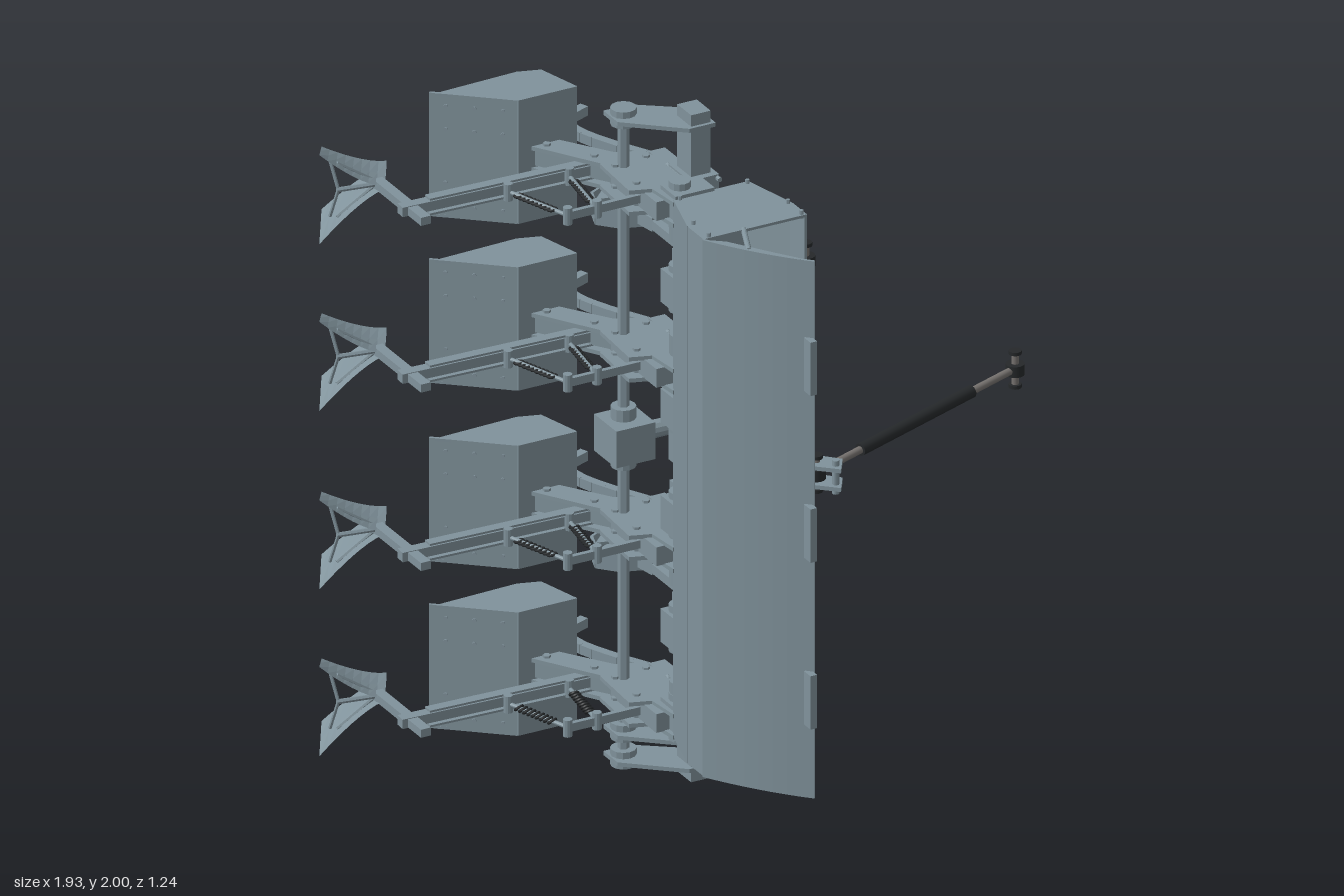
import * as THREE from 'three';

const steel = new THREE.MeshStandardMaterial({ color: 0x80929b, flatShading: true, side: THREE.DoubleSide });
const dark = new THREE.MeshStandardMaterial({ color: 0x25282a });
const rodMat = new THREE.MeshStandardMaterial({ color: 0x76726f });
const V = (x, y, z) => new THREE.Vector3(x, y, z);

function add(parent, name, geo, mat = steel) {
  const m = new THREE.Mesh(geo, mat);
  m.name = name;
  parent.add(m);
  return m;
}
// Box given by its limits on each axis
function box(p, name, x0, x1, y0, y1, z0, z1) {
  const m = add(p, name, new THREE.BoxGeometry(x1 - x0, y1 - y0, z1 - z0));
  m.position.set((x0 + x1) / 2, (y0 + y1) / 2, (z0 + z1) / 2);
  return m;
}
// Outline in the x-z plane, extruded from y0 to y1
function plate(p, name, pts, y0, y1) {
  const s = new THREE.Shape(pts.map(([x, z]) => new THREE.Vector2(x, -z)));
  const g = new THREE.ExtrudeGeometry(s, { depth: y1 - y0, bevelEnabled: false });
  g.rotateX(-Math.PI / 2);
  g.translate(0, y0, 0);
  return add(p, name, g);
}
// Folded sheet: a box along each leg of an x-z path
function sheet(p, name, pts, y0, y1, t) {
  for (let i = 0; i + 1 < pts.length; i++) {
    const [ax, az] = pts[i], [bx, bz] = pts[i + 1];
    const m = add(p, name, new THREE.BoxGeometry(Math.hypot(bx - ax, bz - az), y1 - y0, t));
    m.position.set((ax + bx) / 2, (y0 + y1) / 2, (az + bz) / 2);
    m.rotation.y = -Math.atan2(bz - az, bx - ax);
  }
}
// Round bar between two points
function rod(p, name, a, b, r, mat = steel, sides = 12) {
  const m = add(p, name, new THREE.CylinderGeometry(r, r, a.distanceTo(b), sides), mat);
  m.position.copy(a).add(b).multiplyScalar(0.5);
  m.quaternion.setFromUnitVectors(V(0, 1, 0), b.clone().sub(a).normalize());
  return m;
}
const pin = (p, name, x, z, y0, y1, r, mat, sides) => rod(p, name, V(x, y0, z), V(x, y1, z), r, mat, sides);

// Hitch link: rod, dark sleeve, ball eyes and cross pins
function link(p, name, a, b, sleeve0, sleeve1, r) {
  const g = new THREE.Group();
  g.name = name;
  p.add(g);
  rod(g, 'linkRod', a, b, r * 0.6, rodMat);
  rod(g, 'linkSleeve', a.clone().lerp(b, sleeve0), a.clone().lerp(b, sleeve1), r, dark);
  for (const e of [a, b]) {
    pin(g, 'linkEye', e.x, e.z, e.y - 0.016, e.y + 0.016, 0.026, dark, 20);
    pin(g, 'crossPin', e.x, e.z, e.y - 0.05, e.y + 0.05, 0.01, rodMat);
    for (const s of [-1, 1]) pin(g, 'pinHead', e.x, e.z, e.y + s * 0.05 - 0.005, e.y + s * 0.05 + 0.005, 0.018, dark);
  }
}

function rowUnit(y) {
  const g = new THREE.Group();
  g.name = 'rowUnit';
  g.position.y = y;
  // Frame side plates and slanting arm
  for (const s of [-1, 1]) {
    const c = s * 0.032;
    plate(g, 'frameSide', [[-0.24, -0.02], [-0.23, -0.2], [-0.17, -0.25], [-0.1, -0.22], [-0.06, -0.15],
      [-0.06, 0.02], [-0.08, 0.1], [-0.17, 0.1], [-0.18, 0]], c - 0.006, c + 0.006);
    plate(g, 'slantArm', [[-0.35, -0.4], [-0.28, -0.42], [-0.13, -0.2], [-0.2, -0.16]], c - 0.006, c + 0.006);
    for (const [x, z] of [[-0.2, -0.05], [-0.2, -0.17], [-0.1, -0.18], [-0.09, 0], [-0.12, 0.04], [-0.3, -0.37], [-0.22, -0.25]])
      pin(g, 'frameBolt', x, z, c - 0.013, c + 0.013, 0.011, steel, 6);
  }
  box(g, 'frameBlock', -0.2, -0.08, -0.028, 0.028, -0.2, 0.06);
  sheet(g, 'armCore', [[-0.31, -0.4], [-0.16, -0.18]], -0.022, 0.022, 0.05);
  box(g, 'beamClamp', -0.075, 0.015, -0.045, 0.045, -0.1, 0.02);
  for (const x of [-0.07, 0.01]) for (const s of [-0.035, 0.035])
    rod(g, 'clampBolt', V(x, s, -0.115), V(x, s, 0.035), 0.007, steel, 6);
  // Share hood: folded back wall and two end plates
  sheet(g, 'hoodWall', [[-0.565, -0.545], [-0.38, -0.387], [-0.2, -0.387]], -0.185, 0.185, 0.008);
  for (const s of [-1, 1])
    plate(g, 'hoodEnd', [[-0.555, -0.53], [-0.38, -0.387], [-0.2, -0.387], [-0.235, -0.52], [-0.3, -0.54]],
      s * 0.181 - 0.004, s * 0.181 + 0.004);
  for (const x of [-0.53, -0.47, -0.41]) for (const yy of [-0.15, -0.08, 0.08, 0.15]) {
    const z = -0.545 + (x + 0.565) * 0.854;
    rod(g, 'hoodBolt', V(x - 0.005, yy, z + 0.006), V(x + 0.005, yy, z - 0.006), 0.006, steel, 6);
  }
  // Digging rotor inside the hood
  pin(g, 'rotorShaft', -0.32, -0.53, -0.14, 0.14, 0.018);
  pin(g, 'rotorHub', -0.32, -0.53, -0.04, 0.04, 0.065, steel, 14);
  for (const yy of [-0.11, -0.07, 0.07, 0.11]) {
    pin(g, 'rotorDisc', -0.32, -0.53, yy - 0.004, yy + 0.004, 0.045, steel, 12);
    for (let k = 0; k < 6; k++) {
      const a = k * Math.PI / 3 + yy * 9;
      rod(g, 'rotorBlade', V(-0.32, yy, -0.53),
        V(-0.32 + 0.085 * Math.cos(a), yy + 0.012, -0.53 + 0.085 * Math.sin(a)), 0.008, steel, 4);
    }
  }
  plate(g, 'rotorCase', [[-0.4, -0.55], [-0.37, -0.61], [-0.29, -0.615], [-0.24, -0.57], [-0.24, -0.4], [-0.35, -0.4]], -0.02, 0.02);
  // Trailing beam, post and tapering stays
  sheet(g, 'trailingBeam', [[-0.8, -0.28], [-0.22, -0.26]], -0.014, 0.014, 0.032);
  box(g, 'ridgerPost', -0.785, -0.755, -0.012, 0.012, -0.46, -0.19);
  for (const s of [-1, 1])
    sheet(g, 'stay', [[-0.72, -0.272], [-0.2, -0.255]], s * 0.022 - 0.003, s * 0.022 + 0.003, 0.03);
  // Pressure springs and their rail
  sheet(g, 'springRail', [[-0.43, -0.035], [-0.17, -0.035]], -0.012, 0.012, 0.014);
  for (const [ax, az, bx, bz] of [[-0.49, -0.24, -0.42, -0.035], [-0.3, -0.245, -0.33, -0.035]]) {
    const a = V(ax, 0, az), b = V(bx, 0, bz);
    rod(g, 'springRod', a, b, 0.006);
    for (let k = 0; k < 9; k++) {
      const c = a.clone().lerp(b, 0.18 + k * 0.07);
      const t = add(g, 'springCoil', new THREE.TorusGeometry(0.012, 0.004, 6, 12), dark);
      t.position.copy(c);
      t.lookAt(c.clone().add(b).sub(a));
    }
    pin(g, 'springPivot', bx, bz, -0.025, 0.025, 0.013);
    pin(g, 'springPivot', ax, az, -0.025, 0.025, 0.013);
  }
  // Ridger: two curved wings swept back from the nose
  for (const s of [-1, 1]) {
    const wing = new THREE.PlaneGeometry(1, 1, 8, 2);
    const p = wing.attributes.position;
    for (let i = 0; i < p.count; i++) {
      const u = p.getX(i) + 0.5, v = p.getY(i) + 0.5;
      const x = (-0.69 - 0.2 * u) * (1 - v) + (-0.77 - 0.19 * u) * v;
      const z = (-0.555) * (1 - v) + (-0.42 - 0.02 * u) * v;
      p.setXYZ(i, x, s * (0.004 + (0.09 + 0.04 * v) * Math.pow(u, 1.4)), z);
    }
    wing.computeVertexNormals();
    add(g, 'ridgerWing', wing);
    rod(g, 'wingBrace', V(-0.77, 0, -0.46), V(-0.89, s * 0.08, -0.47), 0.006, steel, 6);
    rod(g, 'wingBrace', V(-0.885, 0, -0.47), V(-0.9, s * 0.085, -0.49), 0.005, steel, 6);
  }
  rod(g, 'wingStem', V(-0.77, 0, -0.45), V(-0.89, 0, -0.47), 0.007, steel, 6);
  // Hooked tine in front of the hood
  const hook = [[-0.04, -0.14], [-0.05, -0.22], [-0.11, -0.34], [-0.155, -0.46], [-0.15, -0.54], [-0.07, -0.58]];
  const curve = new THREE.CatmullRomCurve3(hook.map(([x, z]) => V(x, 0, z)));
  sheet(g, 'hookTine', curve.getPoints(16).map(q => [q.x, q.z]), -0.014, 0.014, 0.026);
  box(g, 'tineBracket', -0.07, -0.02, -0.03, 0.03, -0.22, -0.08);
  return g;
}

export function createModel() {
  const root = new THREE.Group();
  root.name = 'fieldMachine';

  // Main beam and drive shafts
  box(root, 'mainBeam', -0.06, 0, 0, 2, -0.078, 0);
  pin(root, 'driveShaft', -0.18, -0.16, 0.03, 1.97, 0.016, steel, 6);
  pin(root, 'meterShaft', -0.12, 0.045, 0.2, 1.8, 0.012);
  for (const y of [0.04, 0.12, 1.96]) {
    plate(root, 'shaftHanger', [[-0.22, -0.2], [-0.14, -0.2], [0.01, -0.09], [0.01, 0.01], [-0.07, 0.01], [-0.22, -0.12]], y - 0.006, y + 0.006);
    pin(root, 'shaftBearing', -0.18, -0.16, y - 0.025, y + 0.025, 0.036);
  }
  box(root, 'gearbox', -0.24, -0.12, 0.945, 1.055, -0.215, -0.09);
  pin(root, 'gearboxHub', -0.18, -0.16, 0.91, 1.09, 0.035);
  rod(root, 'gearboxInput', V(-0.12, 1, -0.155), V(0.0, 1, -0.155), 0.025);

  // Hopper: folded shell, end plates and inner ribs
  const skin = [[-0.205, 0.34], [-0.205, 0.25], [-0.16, 0.09], [0.065, 0.09], [0.105, 0.26], [0.105, 0.34]];
  sheet(root, 'hopperShell', skin, 0.2, 1.81, 0.008);
  for (const y of [0.2, 1.802]) plate(root, 'hopperEnd', skin, y, y + 0.008);
  for (const y of [0.735, 1.27])
    plate(root, 'hopperRib', [[-0.2, 0.3], [-0.16, 0.095], [0.06, 0.095], [0.1, 0.27]], y - 0.004, y + 0.004);
  for (const y of [0.2, 1.81]) for (const [x, z] of skin) pin(root, 'hopperBolt', x * 0.92, z * 0.94 + 0.012, y - 0.012, y + 0.012, 0.006, steel, 6);
  // Raised curved lid with stays and handles
  const lid = new THREE.QuadraticBezierCurve(new THREE.Vector2(-0.21, 0.34), new THREE.Vector2(-0.12, 0.49), new THREE.Vector2(-0.01, 0.6));
  sheet(root, 'lid', lid.getPoints(8).map(q => [q.x, q.y]), 0.2, 1.81, 0.008);
  for (const y of [0.205, 0.74, 1.27, 1.805]) {
    plate(root, 'lidRib', [...lid.getPoints(8).map(q => [q.x, q.y]), [-0.08, 0.5], [-0.16, 0.38]], y - 0.004, y + 0.004);
    rod(root, 'lidStay', V(-0.08, y, 0.33), V(-0.13, y, 0.45), 0.008);
  }
  for (const y of [0.5, 1, 1.5]) box(root, 'lidHandle', -0.035, -0.015, y - 0.08, y + 0.08, 0.585, 0.622);

  // Metering boxes between hopper and beam
  for (const y of [0.235, 0.5, 0.84, 1.16, 1.52, 1.77]) {
    box(root, 'meterBox', -0.16, -0.04, y - 0.05, y + 0.05, 0.01, 0.095);
    pin(root, 'meterCap', -0.12, 0.045, y - 0.07, y + 0.07, 0.03);
  }
  for (const y of [0.31, 0.66, 1.35, 1.69]) pin(root, 'shaftCoupling', -0.12, 0.045, y - 0.03, y + 0.03, 0.028);

  // Four row units
  for (const y of [0.235, 0.735, 1.27, 1.77]) root.add(rowUnit(y));

  // Two forward furrow shoes on upright legs
  for (const y of [0.49, 1.52]) {
    const g = new THREE.Group();
    g.name = 'furrowShoe';
    root.add(g);
    box(g, 'shoeClamp', -0.07, 0.035, y - 0.045, y + 0.045, -0.09, 0.09);
    box(g, 'shoeLeg', -0.005, 0.03, y - 0.014, y + 0.014, -0.34, 0.1);
    plate(g, 'legNeck', [[-0.005, -0.32], [0.03, -0.32], [0.02, -0.47], [-0.03, -0.47]], y - 0.02, y + 0.02);
    const outline = [[-0.105, -0.45], [-0.08, -0.52], [-0.02, -0.55], [0.06, -0.54], [0.115, -0.5], [0.1, -0.41], [0.03, -0.37], [-0.06, -0.4]];
    sheet(g, 'shoeRim', [...outline, outline[0]], y - 0.03, y + 0.03, 0.008);
    plate(g, 'shoeWeb', outline, y - 0.028, y - 0.02);
    plate(g, 'shoeCheek', [[-0.09, -0.48], [-0.02, -0.55], [0.06, -0.54], [0.115, -0.5], [0.06, -0.45]], y + 0.02, y + 0.028);
    pin(g, 'shoeHub', 0, -0.46, y - 0.035, y + 0.035, 0.03);
  }

  // Hitch mast: paired curved plates
  for (const s of [-1, 1])
    plate(root, 'mastPlate', [[0.0, -0.11], [0.06, -0.11], [0.06, 0.04], [0.09, 0.13], [0.15, 0.22], [0.235, 0.31], [0.2, 0.365],
      [0.12, 0.29], [0.05, 0.2], [0.015, 0.1]], 1 + s * 0.028 - 0.006, 1 + s * 0.028 + 0.006);
  box(root, 'mastFoot', -0.075, 0.03, 0.93, 1.07, -0.1, 0.02);
  pin(root, 'mastPin', 0.2, 0.335, 0.95, 1.05, 0.01);
  // Lower hitch ears
  for (const s of [-1, 1]) {
    for (const d of [-0.022, 0.022]) {
      const y = 1 + s * 0.18 + d;
      plate(root, 'lowerEar', [[0, -0.1], [0.03, -0.1], [0.06, -0.065], [0.17, -0.07], [0.2, -0.045], [0.17, -0.02], [0.03, -0.02], [0, 0.01]], y - 0.006, y + 0.006);
    }
    box(root, 'earClamp', -0.075, 0.015, 1 + s * 0.18 - 0.05, 1 + s * 0.18 + 0.05, -0.095, 0.015);
    link(root, 'lowerLink', V(0.17, 1 + s * 0.185, -0.05), V(0.47, 1 + s * 0.3, -0.325), 0.22, 0.8, 0.02);
  }
  link(root, 'topLink', V(0.165, 1, 0.29), V(0.94, 1, -0.01), 0.22, 0.78, 0.018);
  return root;
}
